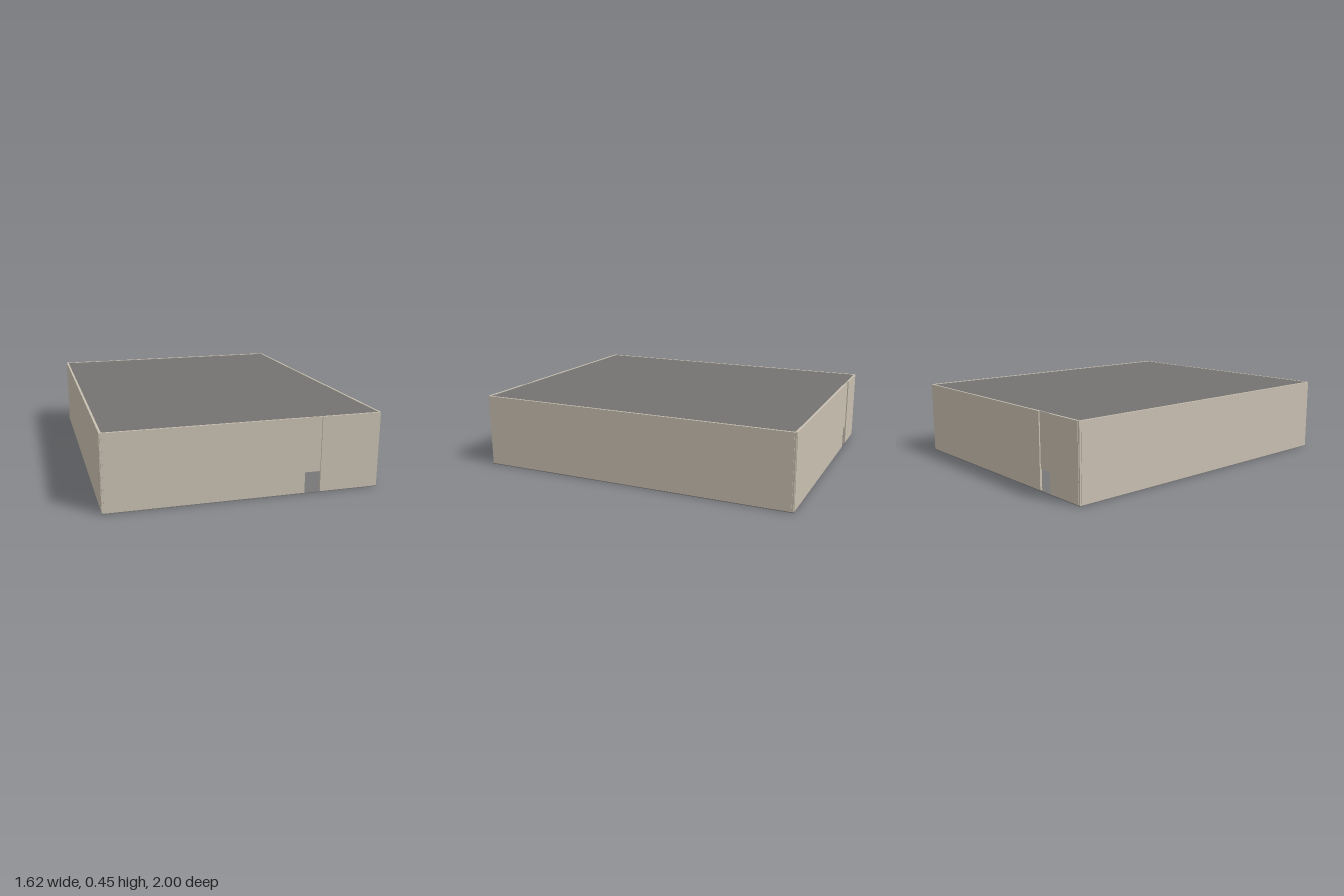
import * as THREE from 'three';

export function createModel() {
  const model = new THREE.Group();
  model.name = 'warehouse';
  const wallMat = new THREE.MeshStandardMaterial({ color: 0xc8bfb0 });
  const roofMat = new THREE.MeshStandardMaterial({ color: 0x757371 });
  const floorMat = new THREE.MeshStandardMaterial({ color: 0x777777 });
  const woodMat = new THREE.MeshStandardMaterial({ color: 0x9a7440 });

  // Box given by its lower and upper corners
  function box(name, mat, x0, x1, y0, y1, z0, z1, parent = model) {
    const mesh = new THREE.Mesh(new THREE.BoxGeometry(x1 - x0, y1 - y0, z1 - z0), mat);
    mesh.position.set((x0 + x1) / 2, (y0 + y1) / 2, (z0 + z1) / 2);
    mesh.name = name;
    parent.add(mesh);
  }

  const X = 0.81, Z = 1, H = 0.45, T = 0.013, base = 0.004;
  const doorTop = 0.125, inset = 0.003;

  box('floor', floorMat, -X, X, 0, base, -Z, Z);
  box('roof', roofMat, -X + T, X - T, H - 0.012, H - 0.003, -Z + T, Z - T);

  // Long side walls
  for (const s of [-1, 1]) {
    const c = s * (X - T / 2);
    box('sideWall', wallMat, c - T / 2, c + T / 2, base, H, -Z + T, Z - T);
  }

  // Slightly recessed corner posts
  for (const sx of [-1, 1]) for (const sz of [-1, 1]) {
    const cx = sx * (X - T / 2 - inset / 2), cz = sz * (Z - T / 2 - inset / 2);
    const h = (T - inset) / 2;
    box('cornerPost', wallMat, cx - h, cx + h, base, H, cz - h, cz + h);
  }

  // End walls, each split by a doorway under a recessed lintel panel
  function endWall(name, side, d0, d1) {
    const wall = new THREE.Group();
    wall.name = name;
    const c = side * (Z - T / 2);
    box('wallPanel', wallMat, -X + T, d0, base, H, c - T / 2, c + T / 2, wall);
    box('wallPanel', wallMat, d1, X - T, base, H, c - T / 2, c + T / 2, wall);
    const l = side * (Z - T + 0.003);
    box('doorLintel', wallMat, d0, d1, doorTop, H, l - 0.003, l + 0.003, wall);
    model.add(wall);
  }
  endWall('frontWall', 1, 0.35, 0.446);
  endWall('backWall', -1, -0.55, -0.454);

  // Loaded pallets standing inside, in line with the doorways
  for (const [x, z] of [[0.395, 0.6], [-0.5, -0.6]]) {
    const pallet = new THREE.Group();
    pallet.name = 'pallet';
    for (const dx of [-0.016, 0, 0.016]) {
      box('palletRunner', woodMat, x + dx - 0.003, x + dx + 0.003, base, 0.011, z - 0.025, z + 0.025, pallet);
    }
    box('palletDeck', woodMat, x - 0.02, x + 0.02, 0.011, 0.015, z - 0.025, z + 0.025, pallet);
    box('crate', wallMat, x - 0.018, x + 0.018, 0.015, 0.052, z - 0.023, z + 0.023, pallet);
    model.add(pallet);
  }
  return model;
}
